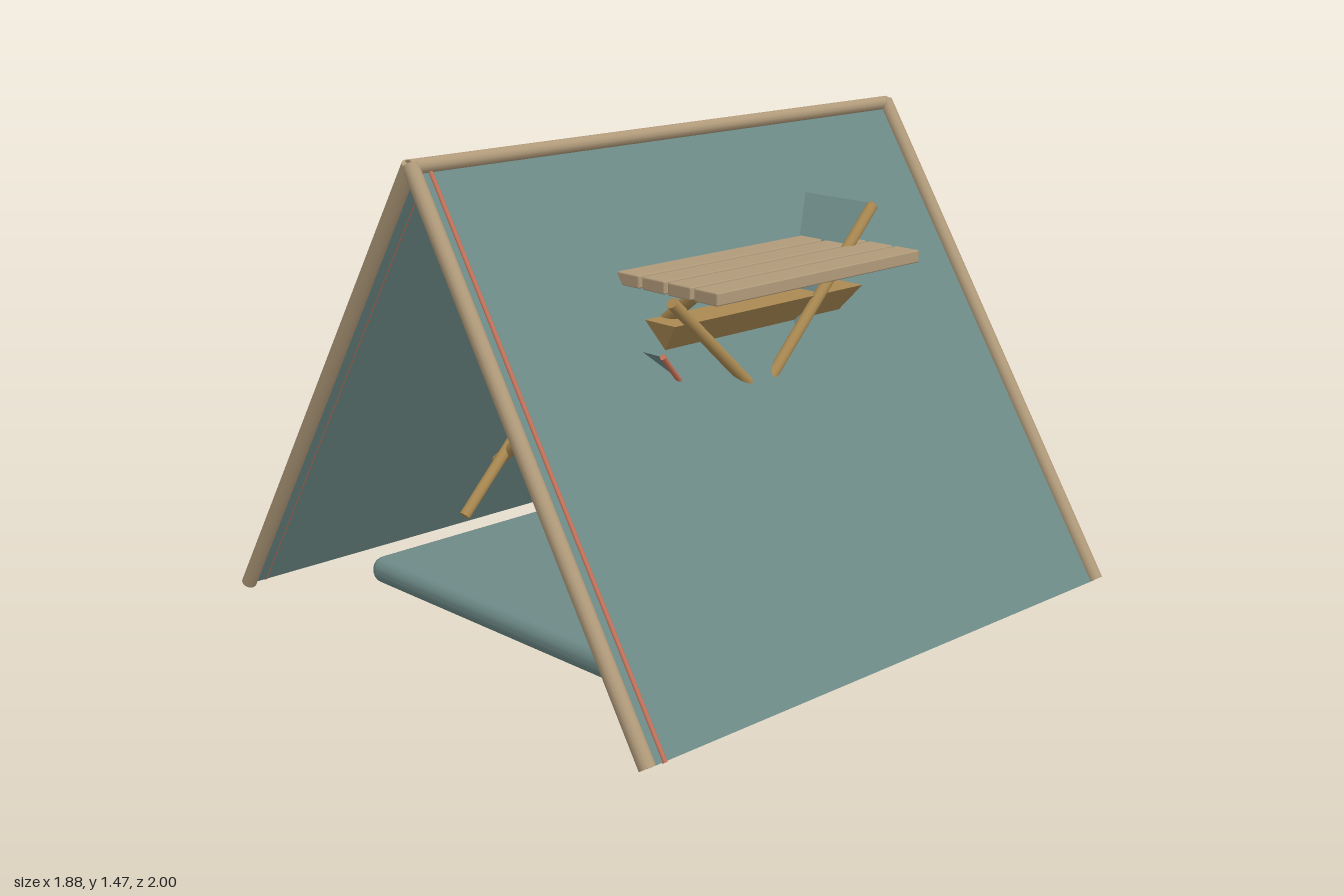
import * as THREE from 'three';
import { RoundedBoxGeometry } from 'three/addons/geometries/RoundedBoxGeometry.js';

const mat = (name, color, side = THREE.FrontSide) => {
  const m = new THREE.MeshStandardMaterial({ color, side });
  m.name = name;
  return m;
};

export function createModel() {
  const root = new THREE.Group();
  root.name = 'campSet';
  const teal = mat('tealCanvas', 0x6d8a87, THREE.DoubleSide);
  const red = mat('terracottaCloth', 0xc4735a);
  const pale = mat('paleWood', 0xb09a7a);
  const gold = mat('goldenWood', 0xab8a52);

  const group = (name) => {
    const g = new THREE.Group();
    g.name = name;
    root.add(g);
    return g;
  };
  const add = (parent, name, geo, material, x = 0, y = 0, z = 0) => {
    const m = new THREE.Mesh(geo, material);
    m.name = name;
    m.position.set(x, y, z);
    parent.add(m);
    return m;
  };
  // Round bar between two points
  const bar = (parent, name, a, b, r, material, sides = 12) => {
    const p = new THREE.Vector3(...a), q = new THREE.Vector3(...b);
    const m = add(parent, name, new THREE.CylinderGeometry(r, r, p.distanceTo(q), sides), material);
    m.position.copy(p).add(q).multiplyScalar(0.5);
    m.quaternion.setFromUnitVectors(new THREE.Vector3(0, 1, 0), q.sub(p).normalize());
    return m;
  };

  // Tent: two A-frames, ridge pole, sloping canvas with a trim line
  const tent = group('tent');
  bar(tent, 'ridgePole', [0, 1.449, -0.98], [0, 1.449, 0.98], 0.022, pale);
  for (const s of [-1, 1]) {
    for (const z of [-0.975, 0.975]) {
      bar(tent, 'tentPole', [0, 1.455, z], [s * 0.922, 0.018, z], 0.024, pale);
    }
    const slope = Math.atan2(1.425, s * 0.92);
    const panel = add(tent, 'canvasPanel', new THREE.BoxGeometry(1.696, 0.006, 1.94), teal, s * 0.46, 0.728, 0);
    panel.rotation.z = -slope;
    bar(tent, 'canvasTrim', [s * 0.004, 1.44, 0.915], [s * 0.924, 0.015, 0.915], 0.007, red, 8);
  }

  // Bedding
  const bed = group('bedding');
  add(bed, 'mattress', new RoundedBoxGeometry(1.24, 0.085, 1.5, 4, 0.04), teal, 0, 0.078, -0.02);
  add(bed, 'pillow', new RoundedBoxGeometry(0.77, 0.11, 0.42, 4, 0.045), red, 0, 0.187, -0.555);

  // Slatted folding table
  const table = group('table');
  for (let i = 0; i < 12; i++) {
    add(table, 'slat', new RoundedBoxGeometry(0.09, 0.038, 0.85, 1, 0.005), pale, (i - 5.5) * 0.1035, 1.098, 0);
  }
  for (const z of [-0.32, 0.32]) {
    for (const s of [-1, 1]) {
      bar(table, 'crossedLeg', [s * 0.43, 1.07, z], [-s * 0.472, 0.38, z], 0.02, gold);
    }
  }

  // Sling chair: crossed side legs, cloth lofted through a bent profile, edge piping
  const chair = group('chair');
  for (const s of [-1, 1]) {
    const x = s * 0.418;
    bar(chair, 'backPost', [x, 1.225, -0.435], [x, 0.25, 0.5], 0.018, gold);
    bar(chair, 'frontPost', [x, 1.055, 0.405], [x, 0.25, -0.455], 0.018, gold);
    bar(chair, 'pivot', [x - 0.022, 0.72, 0.05], [x + 0.022, 0.72, 0.05], 0.014, red);
  }
  const profile = [ // halfWidth, y, z
    [0.415, 1.23, -0.44], [0.405, 1.0, -0.23], [0.35, 0.72, -0.05], [0.3, 0.54, 0.06],
    [0.3, 0.54, 0.12], [0.39, 0.8, 0.335], [0.428, 0.91, 0.45],
  ];
  const verts = [];
  for (let i = 0; i + 1 < profile.length; i++) {
    const [w, y, z] = profile[i], [v, b, c] = profile[i + 1];
    verts.push(-w, y, z, -v, b, c, v, b, c, -w, y, z, v, b, c, w, y, z);
    for (const s of [-1, 1]) bar(chair, 'slingPiping', [s * w, y, z], [s * v, b, c], 0.009, red, 8);
  }
  const sling = new THREE.BufferGeometry();
  sling.setAttribute('position', new THREE.Float32BufferAttribute(verts, 3));
  sling.computeVertexNormals();
  add(chair, 'sling', sling, teal);

  // Tapered basket with arched handle and food on top
  const basket = group('basket');
  const tub = new THREE.BoxGeometry(0.84, 0.265, 0.79);
  const p = tub.attributes.position;
  for (let i = 0; i < p.count; i++) {
    if (p.getY(i) < 0) p.setXYZ(i, p.getX(i) * 0.48, p.getY(i), p.getZ(i) * 0.78);
  }
  tub.computeVertexNormals();
  add(basket, 'basketBody', tub, gold, 0, 0.8525, 0);
  add(basket, 'handle', new THREE.TorusGeometry(0.17, 0.009, 8, 32, Math.PI), gold, 0, 0.92, 0.02);
  add(basket, 'loaf', new THREE.SphereGeometry(0.08, 16, 10), pale, -0.05, 1.005, 0).scale.set(1, 0.35, 0.6);
  add(basket, 'roll', new THREE.SphereGeometry(0.04, 14, 10), pale, 0.3, 1.008, -0.11).scale.set(1, 0.62, 1);

  // Small stool legs showing under the sling
  const stool = group('stool');
  for (const s of [-1, 1]) {
    bar(stool, 'stoolLeg', [s * 0.29, 0.445, 0.08], [s * 0.27, 0.72, 0.04], 0.012, gold);
    bar(stool, 'stoolLeg', [s * 0.165, 0.47, -0.12], [s * 0.165, 0.72, -0.1], 0.01, gold);
  }

  // Cloth pack with a rounded pocket
  const pack = group('pack');
  const body = add(pack, 'packBody', new THREE.CylinderGeometry(0.2, 0.18, 0.26, 20), teal, -0.055, 0.578, -0.05);
  body.scale.z = 0.8;
  add(pack, 'packPocket', new THREE.SphereGeometry(0.09, 18, 12), teal, -0.065, 0.51, 0.09).scale.set(1, 0.6, 0.7);

  // Lantern foot: stepped round base
  const foot = [[0, 0.37], [0.2, 0.37], [0.2, 0.415], [0.17, 0.445], [0.13, 0.47], [0, 0.48]];
  add(group('lantern'), 'lanternBase',
    new THREE.LatheGeometry(foot.map(([r, y]) => new THREE.Vector2(r, y)), 24), gold, 0, 0, -0.02);

  return root;
}
